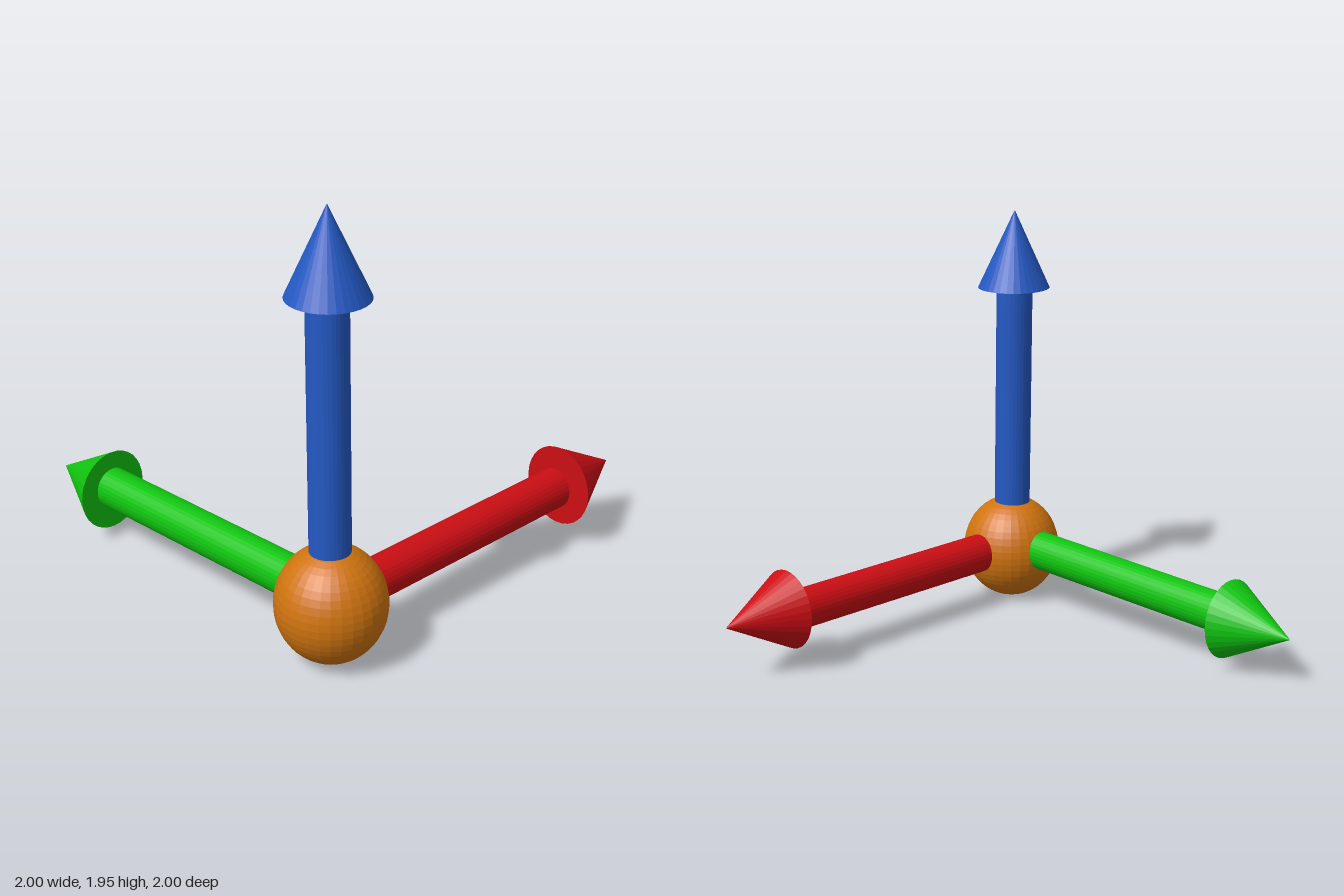
import * as THREE from 'three';

const SIDES = 32;
const Y_STRETCH = 1.075; // the whole model is slightly taller than round

const material = (color) => new THREE.MeshStandardMaterial({ color, flatShading: true });

// Round part whose axis runs from start to end; u and v are its radius vectors
function axisPart(name, topRadius, start, end, u, v, radius, mat) {
  const a = new THREE.Vector3(...start);
  const b = new THREE.Vector3(...end);
  const stretch = (d) => new THREE.Vector3(d[0], d[1] * Y_STRETCH, d[2]).multiplyScalar(radius);
  const geometry = new THREE.CylinderGeometry(topRadius, 1, 1, SIDES);
  const matrix = new THREE.Matrix4().makeBasis(stretch(u), b.clone().sub(a), stretch(v));
  matrix.setPosition(a.add(b).multiplyScalar(0.5));
  geometry.applyMatrix4(matrix);
  const mesh = new THREE.Mesh(geometry, mat);
  mesh.name = name;
  return mesh;
}

// Shaft and cone head of one arrow
function arrow({ name, color, shaft, head, u, v }) {
  const group = new THREE.Group();
  group.name = name;
  const mat = material(color);
  group.add(axisPart(name + 'Shaft', 1, ...shaft, u, v, 0.087, mat));
  group.add(axisPart(name + 'Head', 0, ...head, u, v, 0.173, mat));
  return group;
}

export function createModel() {
  const model = new THREE.Group();
  model.name = 'axisArrows';

  // Ball at the corner where the arrows meet
  const ball = new THREE.Mesh(new THREE.SphereGeometry(0.236, SIDES, 24), material(0xd0740f));
  ball.name = 'originBall';
  ball.scale.y = Y_STRETCH;
  ball.position.set(-0.764, 0.255, 0.76);
  model.add(ball);

  const arrows = [
    {
      name: 'upArrow', color: 0x2459c4, u: [1, 0, 0], v: [0, 0, 1],
      shaft: [[-0.763, 0.27, 0.757], [-0.763, 1.575, 0.738]],
      head: [[-0.753, 1.575, 0.733], [-0.753, 1.95, 0.727]],
    },
    {
      name: 'sideArrow', color: 0xcc0e14, u: [0, -1, 0], v: [0, 0, 1],
      shaft: [[-0.75, 0.262, 0.761], [0.64, 0.262, 0.761]],
      head: [[0.65, 0.274, 0.773], [1, 0.275, 0.771]],
    },
    {
      name: 'backArrow', color: 0x10c410, u: [1, 0, 0], v: [0, 1, 0],
      shaft: [[-0.762, 0.279, 0.75], [-0.762, 0.25, -0.65]],
      head: [[-0.762, 0.238, -0.653], [-0.762, 0.232, -1]],
    },
  ];
  arrows.forEach((a) => model.add(arrow(a)));

  return model;
}
